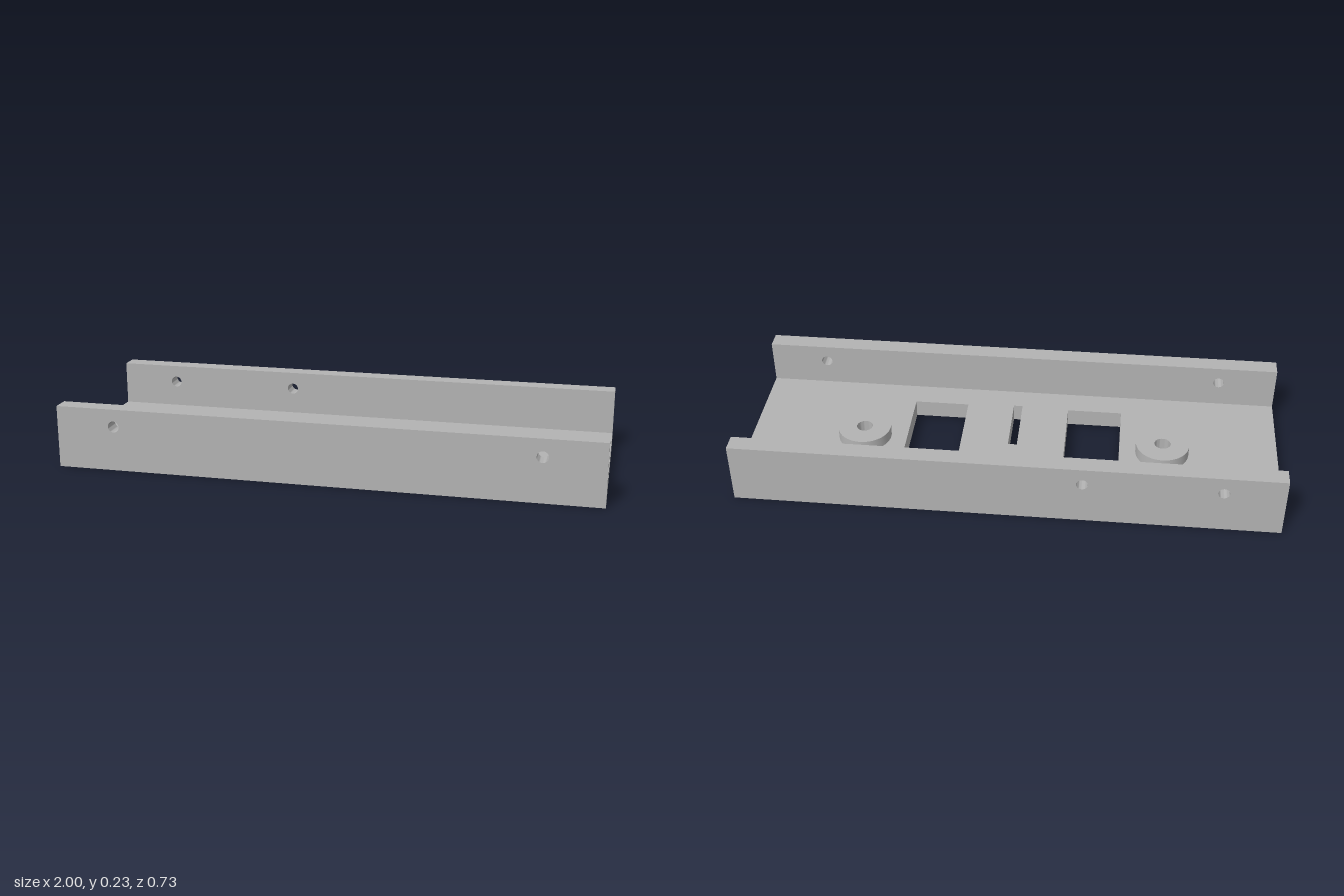
import * as THREE from 'three';
import { toCreasedNormals } from 'three/addons/utils/BufferGeometryUtils.js';

const HALF_DEPTH = 0.367, WALL = 0.067, FLOOR = 0.067, HEIGHT = 0.233;

const rectPoints = (x0, y0, x1, y1) => [[x0, y0], [x1, y0], [x1, y1], [x0, y1]].map(([x, y]) => new THREE.Vector2(x, y));
const rectHole = (...r) => new THREE.Path(rectPoints(...r).reverse());
const circleHole = (x, y, r) => new THREE.Path().absarc(x, y, r, 0, Math.PI * 2, true);

// Extrudes an outline with holes; hole walls are smooth, edges stay sharp
function plate(outline, holes, depth) {
  outline.holes.push(...holes);
  const geometry = new THREE.ExtrudeGeometry(outline, { depth, bevelEnabled: false, curveSegments: 24 });
  return toCreasedNormals(geometry, 0.6);
}

export function createModel() {
  const group = new THREE.Group();
  const grey = new THREE.MeshStandardMaterial({ color: 0xb3b3b3 });
  grey.name = 'grey';

  const add = (name, geometry) => {
    const mesh = new THREE.Mesh(geometry, grey);
    mesh.name = name;
    group.add(mesh);
  };

  // Floor: drawn in x and -z, then laid flat
  const bossX = 0.567, bossZ = -0.033, boreRadius = 0.03;
  const floorHoles = [rectHole(-0.017, -0.207, 0.017, 0.037)];
  for (const s of [-1, 1]) {
    floorHoles.push(rectHole(s * 0.302 - 0.104, -0.197, s * 0.302 + 0.104, 0.14));
    floorHoles.push(circleHole(s * bossX, -bossZ, boreRadius));
  }
  const floor = plate(new THREE.Shape(rectPoints(-1, -HALF_DEPTH, 1, HALF_DEPTH)), floorHoles, FLOOR);
  add('floor', floor.rotateX(-Math.PI / 2));

  // Side walls with screw holes
  const addWall = (name, z, holeXs) => {
    const holes = holeXs.map((x) => circleHole(x, 0.167, 0.021));
    const wall = plate(new THREE.Shape(rectPoints(-1, FLOOR, 1, HEIGHT)), holes, WALL);
    add(name, wall.translate(0, 0, z));
  };
  addWall('frontWall', HALF_DEPTH - WALL, [-0.78, 0.78]);
  addWall('backWall', -HALF_DEPTH, [-0.78, -0.28]);

  // Round bosses with a through bore
  for (const s of [-1, 1]) {
    const disc = new THREE.Shape().absarc(0, 0, 0.1, 0, Math.PI * 2, false);
    const boss = plate(disc, [circleHole(0, 0, boreRadius)], 0.11 - FLOOR);
    boss.rotateX(-Math.PI / 2).translate(s * bossX, FLOOR, bossZ);
    add(s > 0 ? 'leftBoss' : 'rightBoss', boss);
  }

  return group;
}
